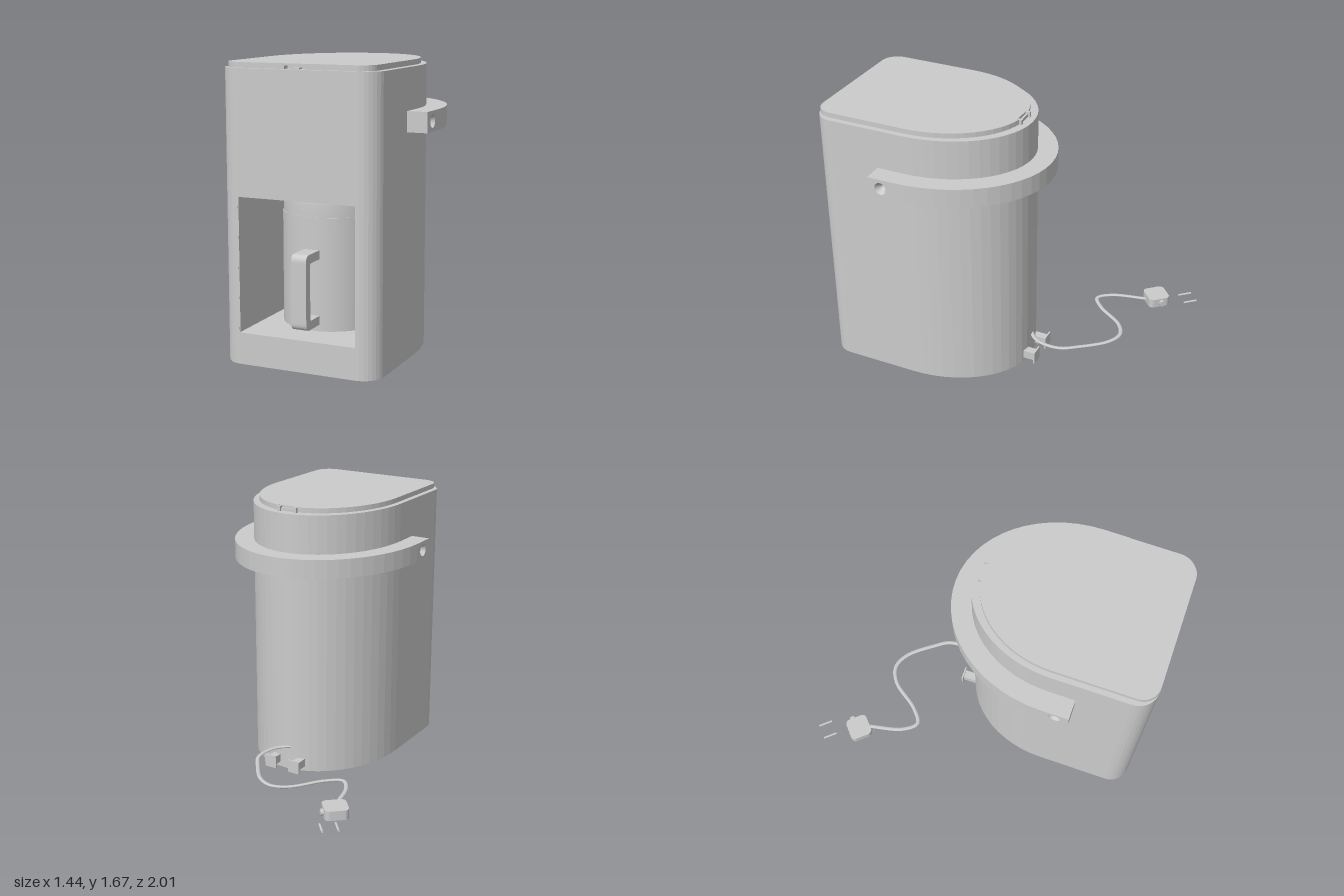
import * as THREE from 'three';

const CX = 0.135;   // body centre line in x
const ZC = 0.42;    // where the straight sides meet the curved back
const SEG = 28;     // facets round the back

const grey = new THREE.MeshStandardMaterial({ color: 0xcccccc });
const greyDouble = new THREE.MeshStandardMaterial({ color: 0xcccccc, side: THREE.DoubleSide });

function add(parent, name, geometry, x = 0, y = 0, z = 0, material = grey) {
  const mesh = new THREE.Mesh(geometry, material);
  mesh.name = name;
  mesh.position.set(x, y, z);
  parent.add(mesh);
  return mesh;
}

// Plan points [x, z] of the curved back, from the +x side round to the -x side
function backCurve(halfWidth, zBack) {
  const points = [];
  for (let i = 0; i <= SEG; i++) {
    const a = Math.PI * i / SEG;
    points.push([CX + halfWidth * Math.cos(a), ZC - (ZC - zBack) * Math.sin(a)]);
  }
  return points;
}

// Rounded front, from the -x side to the +x side
function frontCorners(halfWidth, radius) {
  const points = [];
  for (const side of [-1, 1]) {
    for (let i = 0; i <= 8; i++) {
      const a = Math.PI / 2 * (side < 0 ? i : 8 - i) / 8;
      points.push([CX + side * (halfWidth - radius + radius * Math.cos(a)), 1 - radius + radius * Math.sin(a)]);
    }
  }
  return points;
}

// Extrude a plan outline upwards from y0 to y1
function slab(points, y0, y1) {
  const shape = new THREE.Shape(points.map(([x, z]) => new THREE.Vector2(x, -z)));
  const geometry = new THREE.ExtrudeGeometry(shape, { depth: y1 - y0, bevelEnabled: false });
  return geometry.rotateX(-Math.PI / 2).translate(0, y0, 0);
}

function roundedRect(w, h, r) {
  const s = new THREE.Shape();
  s.absarc(w / 2 - r, h / 2 - r, r, 0, Math.PI / 2);
  s.absarc(-w / 2 + r, h / 2 - r, r, Math.PI / 2, Math.PI);
  s.absarc(-w / 2 + r, -h / 2 + r, r, Math.PI, Math.PI * 1.5);
  s.absarc(w / 2 - r, -h / 2 + r, r, Math.PI * 1.5, Math.PI * 2);
  return s;
}

function makeBody() {
  const body = new THREE.Group();
  body.name = 'body';
  const back = backCurve(0.465, -0.17);
  const front = frontCorners(0.465, 0.12);
  const half = front.length / 2;
  const cavity = [[-0.215, 1], [-0.215, 0.22], [0.485, 0.22], [0.485, 1]];
  add(body, 'base', slab([...back, ...front], 0, 0.18));
  add(body, 'cavityWalls', slab([...back, ...front.slice(0, half), ...cavity, ...front.slice(half)], 0.18, 0.94));
  add(body, 'upperHousing', slab([...back, ...front], 0.94, 1.635));
  return body;
}

function makeLid() {
  const lid = new THREE.Group();
  lid.name = 'lid';
  const back = backCurve(0.435, -0.12);
  const front = frontCorners(0.435, 0.1);
  const half = front.length / 2;
  // Cut-out for the hinge
  const notch = [[0.2, -0.115], [0.2, -0.105], [0.07, -0.105], [0.07, -0.115]];
  const outline = [...back.filter(p => p[0] > 0.2), ...notch, ...back.filter(p => p[0] < 0.07)];
  // Finger slot under the front edge
  const slot = [[0.075, 1], [0.075, 0.96], [0.19, 0.96], [0.19, 1]];
  add(lid, 'lidRim', slab([...outline, ...front.slice(0, half), ...slot, ...front.slice(half)], 1.637, 1.656));
  add(lid, 'lidTop', slab([...outline, ...front], 1.656, 1.667));
  add(lid, 'latch', new THREE.BoxGeometry(0.05, 0.008, 0.035), CX, 1.641, 0.98);
  for (const x of [0.08, 0.19]) {
    add(lid, 'hingeLug', new THREE.BoxGeometry(0.018, 0.03, 0.03), x, 1.65, -0.115);
  }
  add(lid, 'hingePin', new THREE.BoxGeometry(0.1, 0.018, 0.014), CX, 1.645, -0.112);
  return lid;
}

function makeCarryHandle() {
  const handle = new THREE.Group();
  handle.name = 'carryHandle';
  const y0 = 1.285, y1 = 1.4, yMid = (y0 + y1) / 2;
  add(handle, 'handleBow', slab([...backCurve(0.583, -0.29), ...backCurve(0.463, -0.168).reverse()], y0, y1));
  // Straight ends with a countersunk pivot hole
  const end = new THREE.Shape();
  end.moveTo(-0.58, y0).lineTo(-ZC, y0).lineTo(-ZC, y1).lineTo(-0.58, y1).closePath();
  const hole = new THREE.Path();
  hole.absarc(-0.5, yMid, 0.037, 0, Math.PI * 2, true);
  end.holes.push(hole);
  for (const side of [-1, 1]) {
    const arm = new THREE.ExtrudeGeometry(end, { depth: 0.12, bevelEnabled: false, curveSegments: 16 });
    arm.rotateY(Math.PI / 2);
    add(handle, 'handleEnd', arm, CX + (side > 0 ? 0.463 : -0.583), 0, 0);
    const cone = new THREE.ConeGeometry(0.037, 0.06, 24, 1, true).rotateZ(side * Math.PI / 2);
    add(handle, 'pivotDimple', cone, CX + side * 0.552, yMid, 0.5, greyDouble);
  }
  return handle;
}

function makeMug() {
  const mug = new THREE.Group();
  mug.name = 'mug';
  const lathe = pairs => new THREE.LatheGeometry(pairs.map(p => new THREE.Vector2(...p)), 40);
  add(mug, 'mugBody', lathe([[0, 0.181], [0.283, 0.181], [0.283, 0.181], [0.283, 0.82], [0.283, 0.82], [0, 0.82]]), 0.133, 0, 0.525);
  add(mug, 'mugLid', lathe([[0.279, 0.82], [0.279, 0.89], [0.274, 0.912], [0.262, 0.928], [0.24, 0.936], [0, 0.936]]), 0.133, 0, 0.525);
  // C-shaped grip, drawn from the side
  const grip = new THREE.Shape();
  grip.moveTo(0.79, 0.22).lineTo(0.93, 0.22).quadraticCurveTo(0.97, 0.22, 0.97, 0.26);
  grip.lineTo(0.97, 0.6).quadraticCurveTo(0.97, 0.64, 0.93, 0.64).lineTo(0.79, 0.64);
  grip.lineTo(0.79, 0.59).lineTo(0.905, 0.59).quadraticCurveTo(0.92, 0.59, 0.92, 0.575);
  grip.lineTo(0.92, 0.285).quadraticCurveTo(0.92, 0.27, 0.905, 0.27).lineTo(0.79, 0.27).closePath();
  const geometry = new THREE.ExtrudeGeometry(grip, { depth: 0.09, bevelEnabled: false, curveSegments: 6 });
  add(mug, 'mugHandle', geometry.rotateY(-Math.PI / 2), 0.18, 0, 0);
  return mug;
}

function makePowerCord() {
  const cord = new THREE.Group();
  cord.name = 'powerCord';
  const path = new THREE.CatmullRomCurve3([
    [0.08, -0.14], [0.16, -0.21], [0.19, -0.29], [0.185, -0.39], [0.13, -0.48], [0, -0.635], [-0.1, -0.675],
    [-0.2, -0.63], [-0.33, -0.46], [-0.42, -0.4], [-0.49, -0.48], [-0.54, -0.68], [-0.55, -0.71],
  ].map(([x, z]) => new THREE.Vector3(x, 0, z)));
  const wire = new THREE.TubeGeometry(path, 90, 0.013, 10).scale(1, 0.55, 1);
  add(cord, 'wire', wire, 0, 0.148, 0);

  const plug = new THREE.Group();
  plug.name = 'plug';
  plug.position.set(-0.58, 0.155, -0.75);
  plug.rotation.y = 0.72;
  const block = new THREE.ExtrudeGeometry(roundedRect(0.14, 0.14, 0.03), { depth: 0.058, bevelEnabled: false, curveSegments: 6 });
  add(plug, 'plugBlock', block.rotateX(-Math.PI / 2), 0, -0.029, 0);
  add(plug, 'plugButton', new THREE.CylinderGeometry(0.02, 0.02, 0.03, 20).rotateZ(Math.PI / 2), 0.072, 0, -0.012);
  for (const x of [0.024, 0.113]) {
    add(plug, 'prong', new THREE.CylinderGeometry(0.007, 0.007, 0.088, 12).rotateX(Math.PI / 2), x, 0, -0.193);
  }
  cord.add(plug);
  return cord;
}

// Pegs at the back for winding the cord
function makeCordPegs() {
  const pegs = new THREE.Group();
  pegs.name = 'cordPegs';
  for (const x of [0.03, 0.2]) {
    add(pegs, 'pegStem', new THREE.BoxGeometry(0.05, 0.052, 0.09), x, 0.056, -0.188);
    add(pegs, 'pegFlange', new THREE.BoxGeometry(0.08, 0.08, 0.01), x, 0.056, -0.236);
  }
  return pegs;
}

export function createModel() {
  const model = new THREE.Group();
  model.name = 'coffeeMaker';
  model.add(makeBody(), makeLid(), makeCarryHandle(), makeMug(), makePowerCord(), makeCordPegs());
  return model;
}
